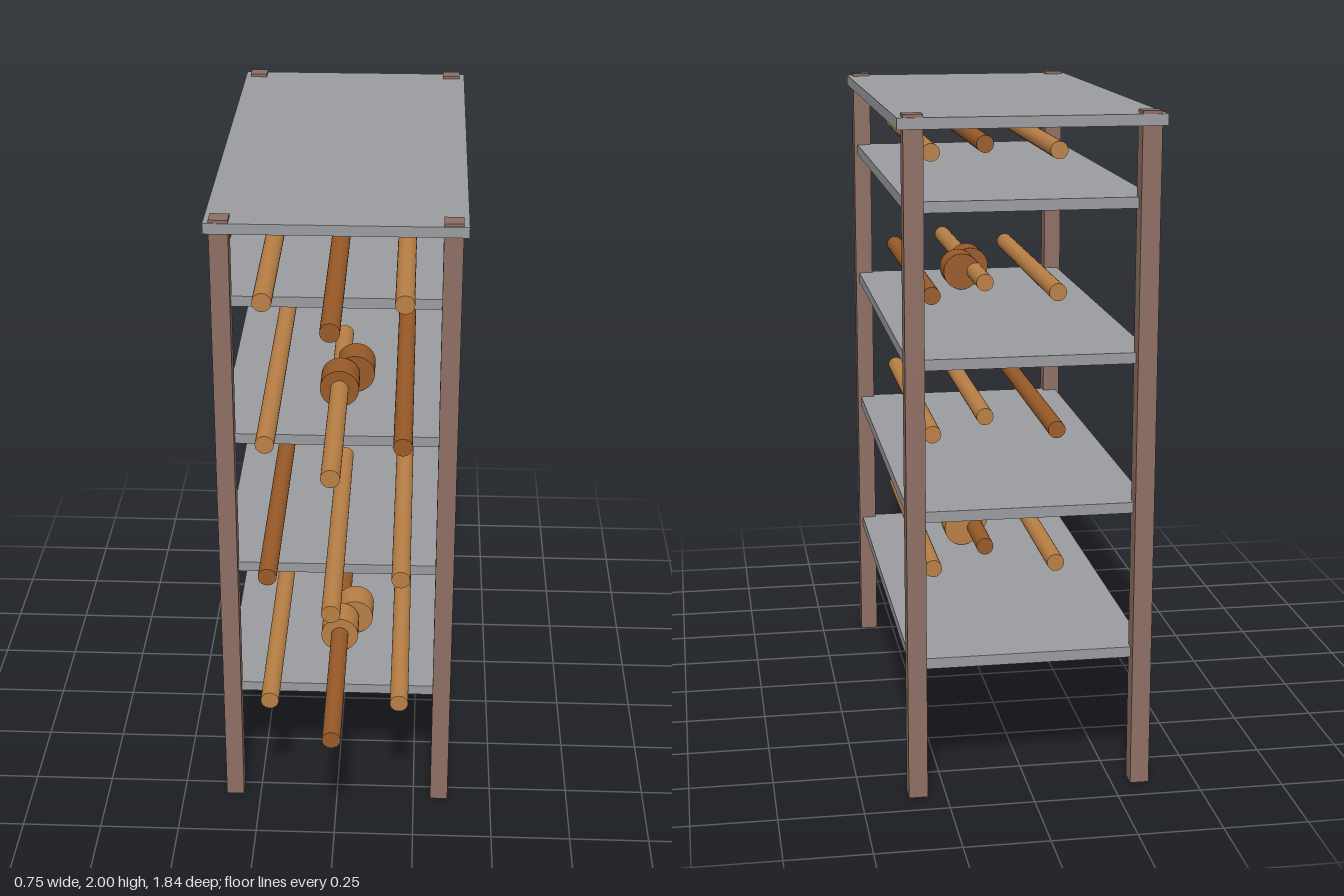
import * as THREE from 'three';

const flat = (name, color) => {
  const m = new THREE.MeshStandardMaterial({ color });
  m.name = name;
  return m;
};

export function createModel() {
  const group = new THREE.Group();
  const postBrown = flat('postBrown', 0x8d6e63);
  const shelfGrey = flat('shelfGrey', 0x9a9b9f);
  const lightWood = flat('lightWood', 0xb87f45);
  const darkWood = flat('darkWood', 0x985a28);

  const midZ = -0.179; // centre of the rack; the rods stick out in front

  function add(name, geometry, material, x, y, z) {
    const mesh = new THREE.Mesh(geometry, material);
    mesh.name = name;
    mesh.position.set(x, y, z);
    group.add(mesh);
  }

  // Corner posts
  const postGeo = new THREE.BoxGeometry(0.056, 2, 0.056);
  for (const sx of [-1, 1])
    for (const sz of [-1, 1])
      add(sz > 0 ? 'frontPost' : 'backPost', postGeo, postBrown, sx * 0.333, 1, midZ + sz * 0.711);

  // Top panel, with the post ends showing just above it
  add('topPanel', new THREE.BoxGeometry(0.755, 0.032, 1.485), shelfGrey, 0, 1.975, midZ);

  // Shelves, rods and rollers, level by level from the bottom
  const shelfGeo = new THREE.BoxGeometry(0.7, 0.032, 1.422);
  const rodGeo = new THREE.CylinderGeometry(0.028, 0.028, 1, 32).rotateX(Math.PI / 2);
  const rollerGeo = new THREE.CylinderGeometry(0.06, 0.06, 0.1, 32).rotateX(Math.PI / 2);
  const levels = [
    { darkRod: 0, roller: lightWood },
    { darkRod: -1 },
    { darkRod: 1, roller: darkWood },
    { darkRod: 0 },
  ];
  levels.forEach(({ darkRod, roller }, i) => {
    const y = 0.406 + i * 0.4453;
    const rodY = y + 0.078;
    add('shelf', shelfGeo, shelfGrey, 0, y, midZ);

    // The middle rod is pulled further forward
    for (const side of [-1, 0, 1])
      add('rod', rodGeo, side === darkRod ? darkWood : lightWood, side * 0.2, rodY, side === 0 ? 0.421 : 0.222);

    // Pair of rollers, the rear one set off to the side
    if (roller) {
      add('frontRoller', rollerGeo, roller, 0, rodY, 0.291);
      add('rearRoller', rollerGeo, roller, 0.045, rodY, 0.181);
    }
  });

  return group;
}
